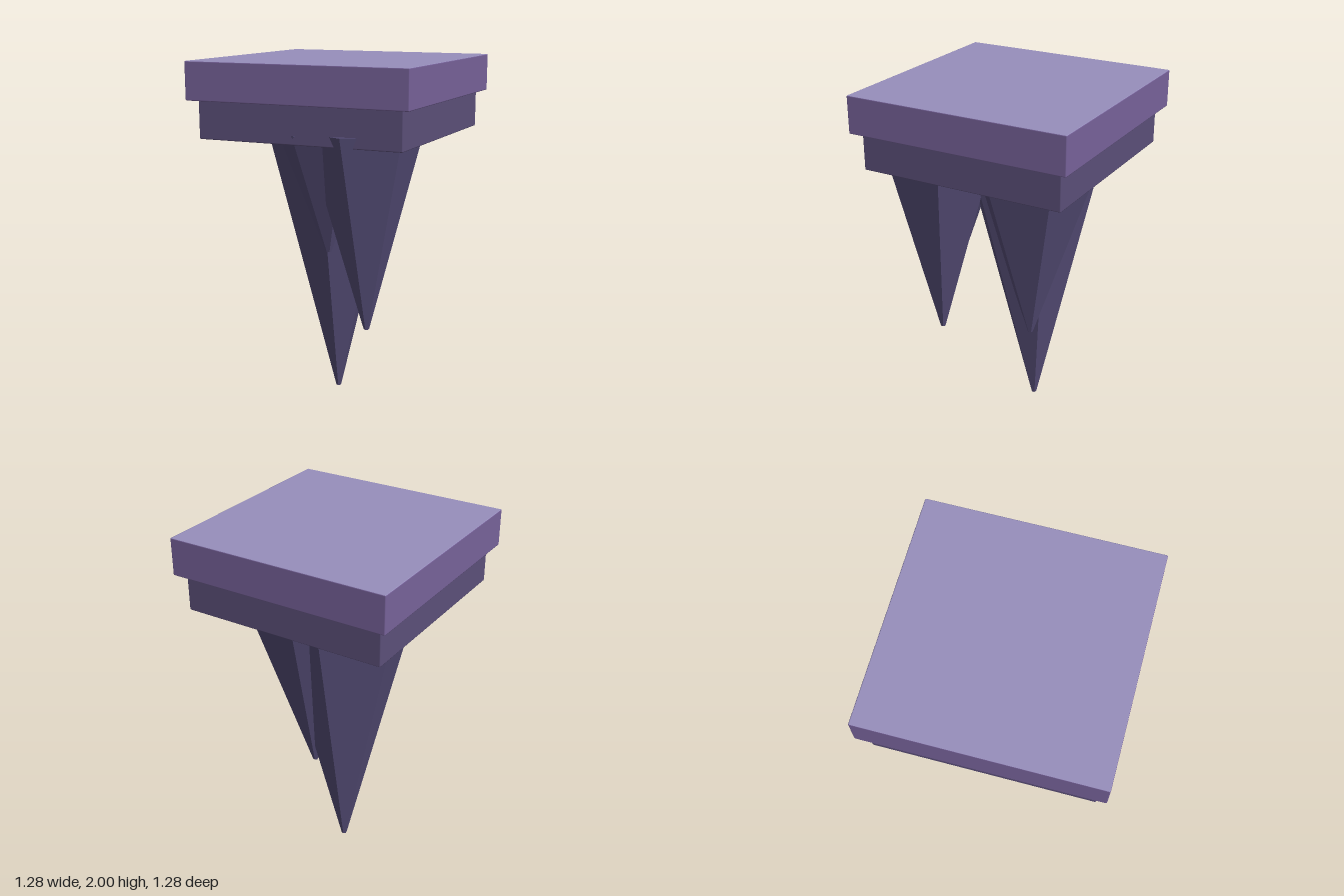
import * as THREE from 'three';
import { RoundedBoxGeometry } from 'three/addons/geometries/RoundedBoxGeometry.js';

const mat = (name, color) => {
  const m = new THREE.MeshStandardMaterial({ color });
  m.name = name;
  return m;
};

export function createModel() {
  const lavender = mat('lavender top', 0x978fbc);
  const purple = mat('purple slab', 0x78639b);
  const dusk = mat('dusky purple base', 0x5c507a);
  const rock = mat('stalactite purple', 0x564e78);
  rock.flatShading = true;

  const model = new THREE.Group();
  model.name = 'floatingPlatform';

  const add = (name, geometry, material) => {
    const mesh = new THREE.Mesh(geometry, material);
    mesh.name = name;
    model.add(mesh);
    return mesh;
  };

  // Two stacked slabs with finely softened edges; the upper one has a pale top face
  const slab = (width, height) => new RoundedBoxGeometry(width, height, width, 1, 0.006);
  add('upperSlab', slab(1.28, 0.21), [purple, purple, lavender, purple, purple, purple])
    .position.y = 1.895;
  add('lowerSlab', slab(1.18, 0.21), dusk).position.y = 1.685;

  // Six-sided hanging spikes, leaning slightly: tip, centre of top, top radius, turn in degrees
  const spikes = [
    ['mainSpike', [-0.08, 0, -0.095], [-0.07, 1.635, -0.065], 0.42, 10],
    ['frontLeftSpike', [0.285, 0.54, 0.325], [0.265, 1.635, 0.315], 0.32, 0],
    ['frontSmallSpike', [0.05, 0.955, 0.315], [0.045, 1.635, 0.33], 0.275, -15],
    ['backSpike', [0.085, 0.535, -0.155], [0.085, 1.635, -0.16], 0.375, 15],
  ];
  const up = new THREE.Vector3(0, 1, 0);
  for (const [name, tip, top, radius, turn] of spikes) {
    const a = new THREE.Vector3(...tip);
    const b = new THREE.Vector3(...top);
    const axis = b.clone().sub(a);
    const geometry = new THREE.CylinderGeometry(radius, 0.015, axis.length(), 6);
    geometry.rotateY(THREE.MathUtils.degToRad(turn));
    const spike = add(name, geometry, rock);
    spike.position.copy(a).add(b).multiplyScalar(0.5);
    spike.quaternion.setFromUnitVectors(up, axis.normalize());
  }
  return model;
}
